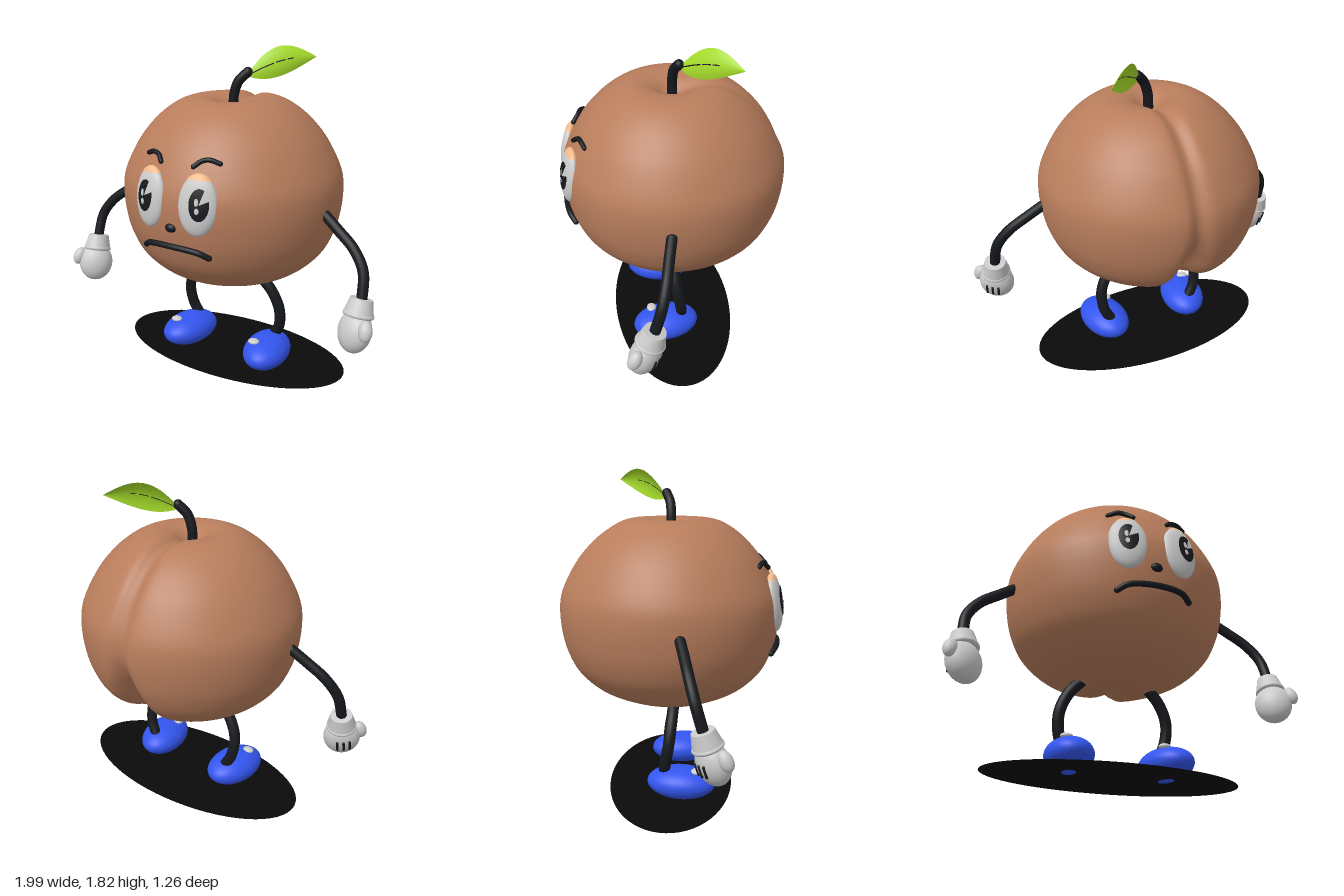
import * as THREE from 'three';
import { mergeVertices } from 'three/addons/utils/BufferGeometryUtils.js';

const V = (x, y, z) => new THREE.Vector3(x, y, z);
const mat = (color, side = THREE.FrontSide) => new THREE.MeshStandardMaterial({ color, side });
const GREY = mat(0xcccccc), BLACK = mat(0x16191d), SKIN = mat(0xb87d5c), LID = mat(0xf2b98a);
const BLUE = mat(0x3355ee), GREEN = mat(0xa5dc2a, THREE.DoubleSide);
const SHADOW = mat(0x0a0a0a, THREE.DoubleSide);

function add(parent, name, geometry, material, pos = [0, 0, 0]) {
  const m = new THREE.Mesh(geometry, material);
  m.name = name;
  m.position.set(...pos);
  parent.add(m);
  return m;
}
function group(parent, name, pos) {
  const g = new THREE.Group();
  g.name = name;
  g.position.set(...pos);
  parent.add(g);
  return g;
}
const ellipsoid = (a, b, c) => new THREE.SphereGeometry(1, 40, 28).scale(a, b, c);

// round-ended tube through points
function limb(parent, name, points, r, material = BLACK) {
  const g = group(parent, name, [0, 0, 0]);
  add(g, name + 'Tube', new THREE.TubeGeometry(new THREE.CatmullRomCurve3(points), 32, r, 16), material);
  for (const p of [points[0], points[points.length - 1]])
    add(g, name + 'End', new THREE.SphereGeometry(r, 16, 12), material, p.toArray());
}

// body outline from bottom to top: radius, height
const outline = new THREE.SplineCurve([
  [0, 0.475], [0.15, 0.492], [0.3, 0.54], [0.43, 0.605], [0.53, 0.7], [0.582, 0.8], [0.61, 0.9],
  [0.623, 1.03], [0.608, 1.15], [0.535, 1.3], [0.46, 1.4], [0.38, 1.475], [0.29, 1.53],
  [0.2, 1.55], [0.11, 1.535], [0.045, 1.5], [0, 1.49],
].map(p => new THREE.Vector2(...p))).getPoints(64);
outline.forEach(p => { p.x = Math.max(p.x, 0); });

// point on the front of the body, lifted by d
function onFace(x, y, d) {
  const p = outline.find(q => q.y >= y);
  return V(x, y, Math.sqrt(p.x * p.x - x * x) + d);
}

function bodyGeometry() {
  let g = new THREE.LatheGeometry(outline, 160);
  g.deleteAttribute('uv');
  g.deleteAttribute('normal');
  const p = g.attributes.position;
  for (let i = 0; i < p.count; i++) {
    const x = p.getX(i), y = p.getY(i), z = p.getZ(i);
    // cleft: shallow over the top, deeper and wider low on the back
    const back = THREE.MathUtils.smoothstep(-z, -0.25, 0.2);
    const low = THREE.MathUtils.smoothstep(-y, -1.05, -0.68) * THREE.MathUtils.smoothstep(-z, 0.1, 0.35);
    const d = back * (0.035 + 0.085 * low) * Math.exp(-((x / (0.045 + 0.035 * low)) ** 2));
    const k = 1 - d / 0.6;
    p.setXYZ(i, x, 1 + (y - 1) * k, z * k * (z < 0 ? 1.015 : 0.985));
  }
  g = mergeVertices(g, 1e-5);
  g.computeVertexNormals();
  return g;
}

// elliptical sector laid on the surface of an eye
function eyePatch(cx, cy, rx, ry, start, length, lift) {
  const g = new THREE.RingGeometry(0.001, 1, 32, 6, start, length);
  const p = g.attributes.position;
  for (let i = 0; i < p.count; i++) {
    const x = cx + p.getX(i) * rx, y = cy + p.getY(i) * ry;
    p.setXYZ(i, x, y, 0.045 * Math.sqrt(Math.max(0, 1 - (x / 0.105) ** 2 - (y / 0.16) ** 2)) + lift);
  }
  g.computeVertexNormals();
  return g;
}

function leafGeometry() {
  const g = new THREE.PlaneGeometry(1, 2, 24, 8), p = g.attributes.position;
  for (let i = 0; i < p.count; i++) p.setXYZ(i, ...leafPoint(p.getX(i) + 0.5, p.getY(i), 0).toArray());
  g.computeVertexNormals();
  return g;
}
function leafPoint(t, s, lift) {
  const w = 0.082 * Math.sin(Math.PI * Math.pow(t, 0.85));
  const out = 0.02 * Math.sin(Math.PI * t) * (1 - s * s) + lift;
  return V(0.07, 1.665, -0.03).lerp(V(0.345, 1.755, -0.32), t)
    .add(V(-0.19, 0.95, -0.19).multiplyScalar(w * s))
    .add(V(0.7, 0.2, 0.7).multiplyScalar(out))
    .add(V(0, 0.03 * Math.sin(Math.PI * t), 0));
}

export function createModel() {
  const root = new THREE.Group();
  root.name = 'fruitCharacter';
  add(root, 'body', bodyGeometry(), SKIN);

  // stem and leaf
  limb(root, 'stem', [V(0, 1.48, 0), V(0.004, 1.56, 0), V(0.03, 1.635, -0.006), V(0.075, 1.685, -0.028)], 0.027);
  add(root, 'leaf', leafGeometry(), GREEN);
  for (const [a, b] of [[0.08, 0.36], [0.4, 0.52], [0.56, 0.64]])
    limb(root, 'leafVein', [a, (a + b) / 2, b].map(t => leafPoint(t, 0, 0.002)), 0.003);

  // face
  add(root, 'nose', ellipsoid(0.033, 0.025, 0.025), BLACK, [0, 0.965, 0.605]);
  limb(root, 'mouth', [[-0.2, 0.822], [-0.15, 0.85], [0, 0.862], [0.15, 0.85], [0.2, 0.822]]
    .map(([x, y]) => onFace(x, y, 0.002)), 0.016);

  for (const s of [-1, 1]) {
    const side = s > 0 ? 'left' : 'right';
    const eye = group(root, side + 'Eye', [s * 0.147, 1.1, 0.572]);
    eye.rotation.set(-0.13, s * 0.25, 0);
    add(eye, 'eyeball', ellipsoid(0.105, 0.16, 0.045), GREY);
    add(eye, 'eyelid', new THREE.SphereGeometry(1, 32, 10, 0, Math.PI * 2, 0, 0.65).scale(0.108, 0.164, 0.048), LID);
    const px = s > 0 ? 0.018 : 0.002;
    add(eye, 'pupil', eyePatch(px, 0.01, 0.053, 0.083, 1.1, Math.PI * 2 - 0.8, 0.004), BLACK);
    add(eye, 'pupilGlint', eyePatch(px - 0.012, 0.025, 0.011, 0.02, 0, Math.PI * 2, 0.007), GREY);
    add(eye, 'pupilGlint', eyePatch(px - 0.008, -0.02, 0.012, 0.016, 0, Math.PI * 2, 0.007), GREY);
    limb(root, side + 'Eyebrow', [[0.1, 1.287], [0.135, 1.315], [0.175, 1.322], [0.222, 1.305]]
      .map(([x, y]) => onFace(s * x, y, 0.014)), 0.013);

    // arm
    limb(root, side + 'Arm', [V(s * 0.615, 0.985, 0.068), V(s * 0.70, 0.925, 0.09), V(s * 0.8, 0.85, 0.115),
      V(s * 0.87, 0.75, 0.145), V(s * 0.888, 0.6, 0.188)], 0.029);

    // gloved hand
    const hand = group(root, side + 'Hand', [s * 0.885, 0.6, 0.188]);
    hand.rotation.set(-0.34, -s * 0.6, -s * 0.06);
    add(hand, 'cuff', new THREE.CylinderGeometry(0.06, 0.08, 0.085, 32), GREY, [0, -0.022, 0]);
    add(hand, 'cuffRim', new THREE.TorusGeometry(0.071, 0.012, 12, 32).rotateX(Math.PI / 2), GREY, [0, -0.064, 0]);
    add(hand, 'palm', ellipsoid(0.102, 0.115, 0.08), GREY, [0, -0.152, 0]);
    const thumb = add(hand, 'thumb', ellipsoid(0.036, 0.055, 0.036), GREY, [s * 0.103, -0.125, 0.012]);
    thumb.rotation.z = s * 0.25;
    for (const x of [-0.034, 0, 0.034])
      add(hand, 'gloveLine', new THREE.CapsuleGeometry(0.007, 0.055, 4, 10), BLACK,
        [x, -0.155, x ? -0.075 : -0.079]);

    // leg
    limb(root, side + 'Leg', [V(s * 0.19, 0.53, 0.022), V(s * 0.265, 0.45, 0.013), V(s * 0.312, 0.34, 0),
      V(s * 0.305, 0.22, -0.02), V(s * 0.265, 0.14, -0.03)], 0.032);

    // shoe, toes turned out
    const shoe = add(root, side + 'Shoe', ellipsoid(0.131, 0.09, 0.194), BLUE, [s * 0.273, 0.09, 0.067]);
    shoe.rotation.y = s * 0.16;
    add(root, side + 'ShoeButton', ellipsoid(0.034, 0.016, 0.028), GREY, [s * 0.273 - 0.042, 0.168, 0.15]);
  }

  // flat shadow disc under the feet
  add(root, 'groundDisc', new THREE.CircleGeometry(1, 64).rotateX(-Math.PI / 2).scale(0.72, 1, 0.36),
    SHADOW, [0, 0.004, 0]);
  return root;
}
